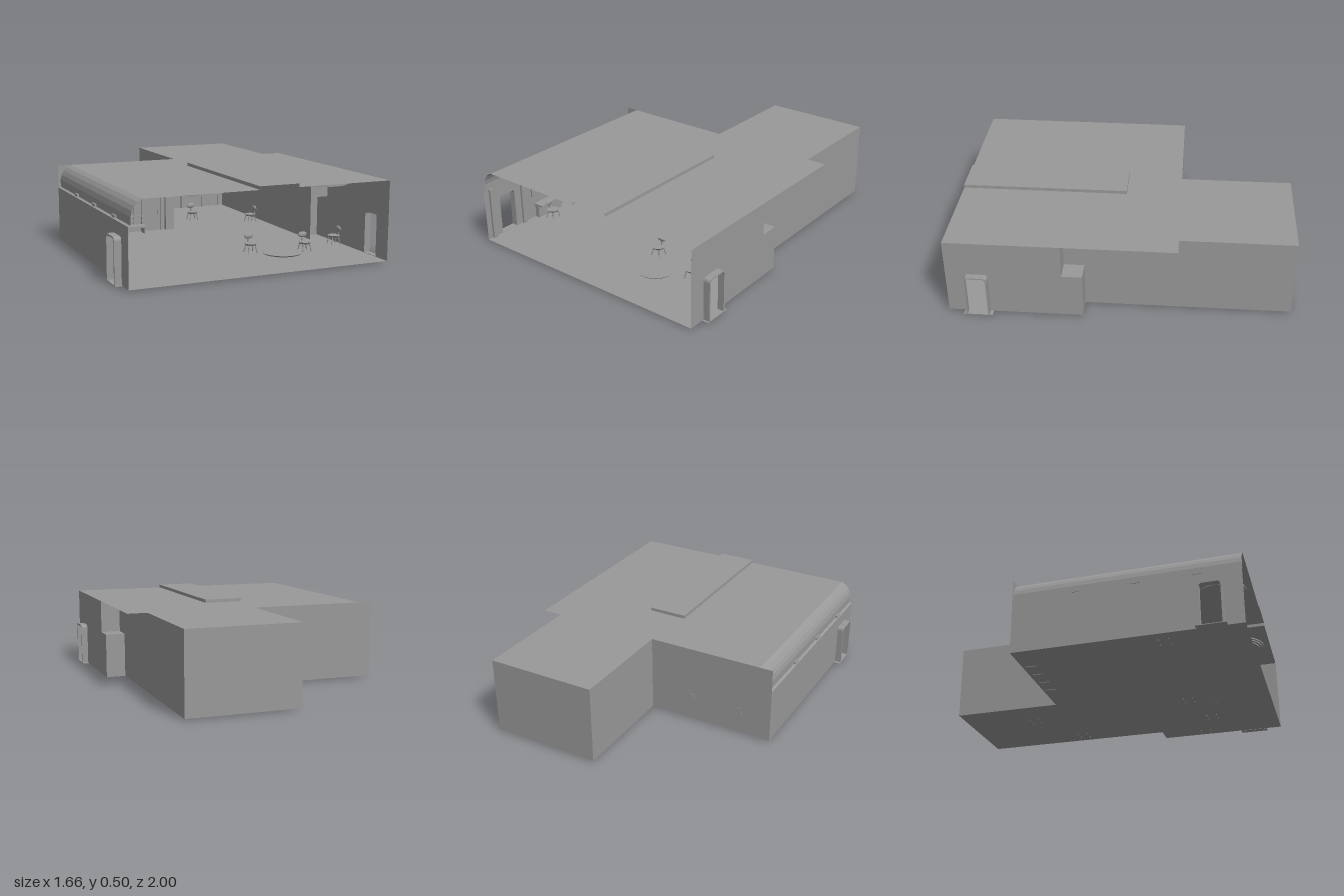
import * as THREE from 'three';

export function createModel() {
  const model = new THREE.Group();
  const grey = new THREE.MeshStandardMaterial({ color: 0x999999, side: THREE.DoubleSide });
  grey.name = 'plain grey';

  const FLOOR = 0.008, TOP = 0.48;

  function add(name, geometry, x = 0, y = 0, z = 0, parent = model) {
    const mesh = new THREE.Mesh(geometry, grey);
    mesh.name = name;
    mesh.position.set(x, y, z);
    parent.add(mesh);
    return mesh;
  }
  const box = (name, w, h, d, x, y, z, parent) =>
    add(name, new THREE.BoxGeometry(w, h, d), x, y, z, parent);
  const cyl = (name, r1, r2, h, x, y, z, parent, n = 20) =>
    add(name, new THREE.CylinderGeometry(r1, r2, h, n), x, y, z, parent);
  const poly = (pts) => new THREE.Shape(pts.map(([a, b]) => new THREE.Vector2(a, b)));
  const rect = (a0, b0, a1, b1) => poly([[a0, b0], [a1, b0], [a1, b1], [a0, b1]]);

  // Doorway outline with rounded upper corners
  function doorway(a0, a1, b0, b1, r, Type = THREE.Shape) {
    const s = new Type();
    s.moveTo(a0, b0);
    s.lineTo(a1, b0);
    s.lineTo(a1, b1 - r);
    s.quadraticCurveTo(a1, b1, a1 - r, b1);
    s.lineTo(a0 + r, b1);
    s.quadraticCurveTo(a0, b1, a0, b1 - r);
    s.closePath();
    return s;
  }
  // Flat sheets: level (x, z), side-on (z, y) and facing the front (x, y)
  const level = (name, shape, y) =>
    add(name, new THREE.ShapeGeometry(shape).rotateX(Math.PI / 2), 0, y, 0);
  const side = (name, shape, x) =>
    add(name, new THREE.ShapeGeometry(shape).rotateY(-Math.PI / 2), x, 0, 0);
  const facing = (name, shape, z) =>
    add(name, new THREE.ShapeGeometry(shape), 0, 0, z);

  // Floor and roof
  level('floor', poly([[-0.79, 1], [0.79, 1], [0.79, 0.21], [0.67, 0.21], [0.67, -1],
    [0, -1], [0, -0.33], [-0.79, -0.33]]), FLOOR);
  level('roof', poly([[-0.71, 1], [-0.04, 1], [-0.04, 0], [0.2, 0], [0.2, 1], [0.79, 1],
    [0.79, -0.33], [0.67, -0.33], [0.67, -1], [0, -1], [0, -0.33], [-0.71, -0.33]]), TOP);

  // Raised roof strip, open below and at the front
  level('raisedRoof', rect(-0.04, 0, 0.2, 1), 0.5);
  facing('raisedRoofBack', rect(-0.04, TOP, 0.2, 0.5), 0);
  for (const x of [-0.04, 0.2]) side('raisedRoofSide', rect(0, TOP, 1, 0.5), x);

  // Outer walls with a doorway on each side
  const leftWall = rect(-0.33, FLOOR, 1, 0.34);
  const rightWall = rect(0.33, FLOOR, 1, TOP);
  for (const wall of [leftWall, rightWall])
    wall.holes.push(doorway(0.76, 0.887, FLOOR + 0.001, 0.262, 0.02, THREE.Path));
  side('rightHandWall', leftWall, -0.79);
  side('leftHandWall', rightWall, 0.79);
  facing('backWall', rect(-0.79, FLOOR, 0, TOP), -0.33);
  side('rearRoomWall', rect(-1, FLOOR, -0.33, TOP), 0);
  side('rearRoomWall', rect(-1, FLOOR, 0.33, TOP), 0.67);
  facing('rearRoomEnd', rect(0, FLOOR, 0.67, TOP), -1);

  // Door tunnels and thresholds
  for (const x of [-0.79, 0.83]) {
    const frame = doorway(0.754, 0.893, FLOOR, 0.268, 0.025);
    frame.holes.push(doorway(0.764, 0.883, FLOOR + 0.001, 0.26, 0.02, THREE.Path));
    const g = new THREE.ExtrudeGeometry(frame, { depth: 0.04, bevelEnabled: false, curveSegments: 6 });
    add('doorTunnel', g.rotateY(-Math.PI / 2), x, 0, 0);
    box('threshold', 0.04, 0.004, 0.17, x - 0.02, FLOOR, 0.82);
  }

  // Alcove stepping in behind the side wall
  facing('alcoveReturn', rect(0.67, 0.28, 0.79, TOP), 0.33);
  facing('alcoveBack', rect(0.67, FLOOR, 0.79, 0.28), 0.21);
  side('alcoveSide', rect(0.21, FLOOR, 0.33, 0.28), 0.79);
  level('alcoveTop', rect(0.67, 0.21, 0.79, 0.33), 0.28);
  const mirror = add('ovalPanel', new THREE.CylinderGeometry(0.04, 0.04, 0.008, 24), 0.725, 0.16, 0.22);
  mirror.rotation.x = Math.PI / 2;
  mirror.scale.z = 1.5;

  // Curved cove joining the low wall to the roof
  const profile = [[-0.79, 0.34], [-0.775, 0.345], [-0.775, 0.39], [-0.768, 0.42],
    [-0.755, 0.445], [-0.736, 0.466], [-0.71, TOP]];
  let cove = new THREE.PlaneGeometry(1, 1, profile.length - 1, 1);
  const pos = cove.attributes.position;
  for (let i = 0; i < pos.count; i++) {
    const [x, y] = profile[i % profile.length];
    pos.setXYZ(i, x, y, i < profile.length ? -0.33 : 1);
  }
  cove = cove.toNonIndexed();
  cove.computeVertexNormals();
  add('cove', cove);
  for (const z of [0.05, 0.4, 0.75]) box('coveBracket', 0.012, 0.015, 0.05, -0.78, 0.352, z);

  // Inner doors with a sign box above each
  for (const [x, z] of [[-0.49, -0.33], [-0.165, -0.33], [0.567, -1]]) {
    const frame = doorway(x - 0.07, x + 0.07, FLOOR, 0.262, 0.03);
    frame.holes.push(doorway(x - 0.064, x + 0.064, FLOOR + 0.001, 0.256, 0.026, THREE.Path));
    add('innerDoorFrame', new THREE.ExtrudeGeometry(frame, { depth: 0.01, bevelEnabled: false }), 0, 0, z);
    box('signBox', 0.076, 0.04, 0.012, x, 0.29, z + 0.006);
    box('signPanel', 0.062, 0.026, 0.006, x, 0.29, z + 0.014);
    box('doorHandle', 0.008, 0.03, 0.008, x + 0.05, 0.13, z + 0.006);
  }

  // Angular arch at the end of the rear room
  const arch = poly([[0.015, FLOOR], [0.015, 0.24], [0.075, 0.34], [0.29, 0.34], [0.345, 0.26], [0.345, FLOOR]]);
  arch.holes.push(poly([[0.035, FLOOR + 0.001], [0.035, 0.235], [0.085, 0.32], [0.28, 0.32], [0.325, 0.25], [0.325, FLOOR + 0.001]]));
  add('arch', new THREE.ExtrudeGeometry(arch, { depth: 0.02, bevelEnabled: false }), 0, 0, -1);
  box('column', 0.055, 0.22, 0.02, -0.04, 0.118, -0.318);

  // Stepped ceiling lights
  for (const x of [-0.315, 0.473]) {
    cyl('ceilingLightRim', 0.162, 0.162, 0.008, x, 0.474, 0.8, model, 32);
    cyl('ceilingLightRing', 0.15, 0.15, 0.008, x, 0.466, 0.8, model, 32);
    cyl('ceilingLightDisc', 0.135, 0.135, 0.008, x, 0.459, 0.8, model, 32);
  }

  // Chairs on splayed legs
  function chair(x, z, turn) {
    const c = new THREE.Group();
    c.name = 'chair';
    c.position.set(x, 0, z);
    c.rotation.y = turn;
    model.add(c);
    cyl('seat', 0.038, 0.03, 0.012, 0, 0.06, 0, c);
    box('backPost', 0.008, 0.04, 0.006, 0, 0.075, -0.03, c);
    const back = add('backrest', new THREE.SphereGeometry(0.03, 16, 10), 0, 0.105, -0.03, c);
    back.scale.set(1, 0.6, 0.3);
    for (const sx of [-1, 1]) for (const sz of [-1, 1]) {
      const leg = cyl('leg', 0.004, 0.003, 0.06, sx * 0.026, 0.03, sz * 0.026, c, 6);
      leg.rotation.set(-sz * 0.2, 0, sx * 0.2);
    }
  }
  chair(0.16, 0.5, 0);
  chair(0.48, 0.59, 0);
  chair(-0.69, 0.54, 1.57);
  chair(0.57, -0.32, -1.57);
  chair(0.23, -0.55, 0);
  chair(0.74, 0.5, -1.57);

  // Low round table
  cyl('tableTop', 0.12, 0.112, 0.008, 0.28, 0.036, 0.67, model, 32);
  cyl('tableStem', 0.014, 0.035, 0.026, 0.28, 0.02, 0.67);

  // Slatted benches along the back wall
  for (const x of [-0.53, -0.295]) {
    box('benchSeat', 0.13, 0.012, 0.07, x, 0.055, -0.28);
    for (let i = 0; i < 2; i++) box('benchRail', 0.13, 0.008, 0.008, x, 0.085 + i * 0.03, -0.31);
    for (let i = 0; i < 5; i++) box('benchSlat', 0.005, 0.06, 0.005, x - 0.06 + i * 0.03, 0.085, -0.31);
    for (const s of [-1, 1]) box('benchLeg', 0.008, 0.05, 0.06, x + s * 0.058, 0.03, -0.28);
    box('headrest', 0.03, 0.05, 0.01, x - 0.06 + (x > -0.4 ? 0.08 : 0), 0.15, -0.328);
  }

  // Wall console and panels beside the doorway
  box('consoleTop', 0.07, 0.012, 0.22, -0.75, 0.1, 0.5);
  box('consoleBase', 0.03, 0.09, 0.2, -0.772, 0.053, 0.5);
  box('cabinet', 0.06, 0.22, 0.1, -0.73, 0.118, -0.27);
  for (const z of [0.05, 0.3, 0.55]) box('wallPanel', 0.012, 0.12, 0.16, -0.782, 0.22, z);
  for (const z of [0.7, 0.95]) box('wallPillar', 0.014, 0.33, 0.03, -0.782, 0.173, z);

  return model;
}
